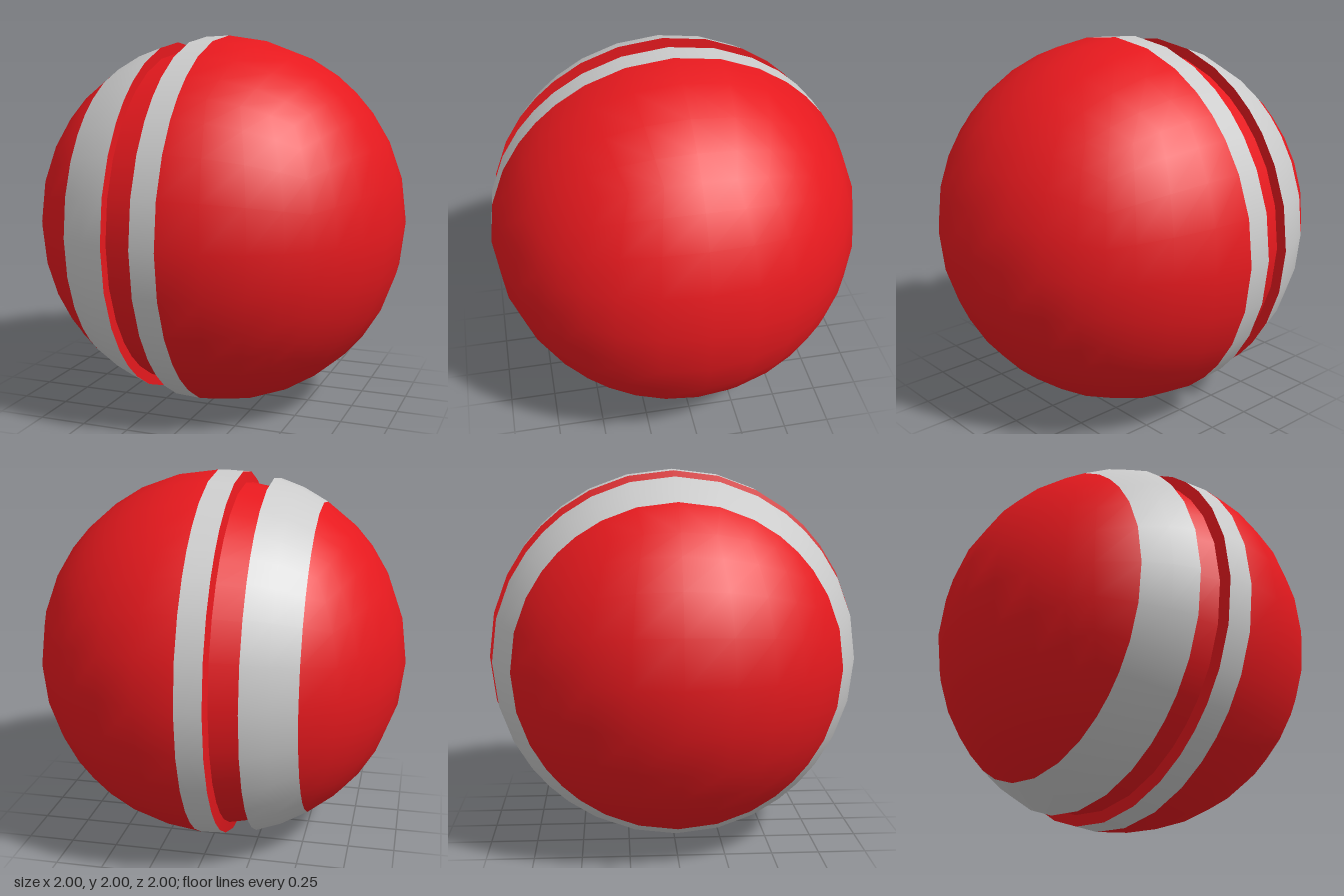
import * as THREE from 'three';

const red = new THREE.MeshStandardMaterial({ color: 0xe6191e });
const grey = new THREE.MeshStandardMaterial({ color: 0xcccccc });
const N = 8; // cube divisions per side, giving 32 steps round the ball

// Half of a cube rounded into a ball, ending in a flat rim at rimX
function dome(side, columns, rimX, rimRadius) {
  const geo = new THREE.BoxGeometry(1, 2, 2, columns, N, N).translate(side * 0.5, 0, 0);
  const pos = geo.attributes.position, nor = geo.attributes.normal;
  const p = new THREE.Vector3();
  for (let i = 0; i < pos.count; i++) {
    p.fromBufferAttribute(pos, i);
    const onRim = Math.abs(p.x) < 1e-4;
    const reach = Math.max(Math.abs(p.x), Math.abs(p.y), Math.abs(p.z));
    p.setLength(reach);
    if (onRim) p.set(rimX, p.y * rimRadius, p.z * rimRadius);
    pos.setXYZ(i, p.x, p.y, p.z);
    p.normalize();
    nor.setXYZ(i, p.x, p.y, p.z);
  }
  return geo;
}

// Ring about the x axis from [x, radius] points, its steps matching the domes
function ring(profile) {
  const points = profile.map(([x, r]) => new THREE.Vector2(r, x));
  const geo = new THREE.LatheGeometry(points, N * 4);
  const up = new THREE.Vector3(0, 1, 0), v = new THREE.Vector3();
  for (let i = 0; i < geo.attributes.position.count; i++) {
    const phi = Math.floor(i / points.length) * Math.PI * 2 / (N * 4);
    const quarter = Math.round(phi / (Math.PI / 2)) * Math.PI / 2;
    const turn = quarter + Math.atan((phi - quarter) / (Math.PI / 4)) - phi;
    for (const a of [geo.attributes.position, geo.attributes.normal]) {
      v.fromBufferAttribute(a, i).applyAxisAngle(up, turn);
      a.setXYZ(i, v.x, v.y, v.z);
    }
  }
  return geo.rotateZ(-Math.PI / 2);
}

export function createModel() {
  const group = new THREE.Group();
  const add = (name, geo, material) => {
    const mesh = new THREE.Mesh(geo, material);
    mesh.name = name;
    mesh.position.y = 1;
    group.add(mesh);
  };

  // Two red shells
  add('largeShell', dome(1, N / 2, 0.03, 1), red);
  add('endCap', dome(-1, 1, -0.535, 0.843), red);

  // Grey bands
  add('wideBand', ring([[-0.535, 0.843], [-0.4, 0.917], [-0.27, 0.963]]), grey);
  add('narrowBand', ring([[-0.105, 0.993], [0.03, 1]]), grey);

  // Recessed groove between the bands
  add('grooveWideWall', ring([[-0.27, 0.963], [-0.27, 0.905]]), red);
  add('grooveFloor', ring([[-0.27, 0.905], [-0.12, 0.935]]), red);
  add('grooveNarrowWall', ring([[-0.12, 0.935], [-0.105, 0.993]]), red);
  return group;
}
